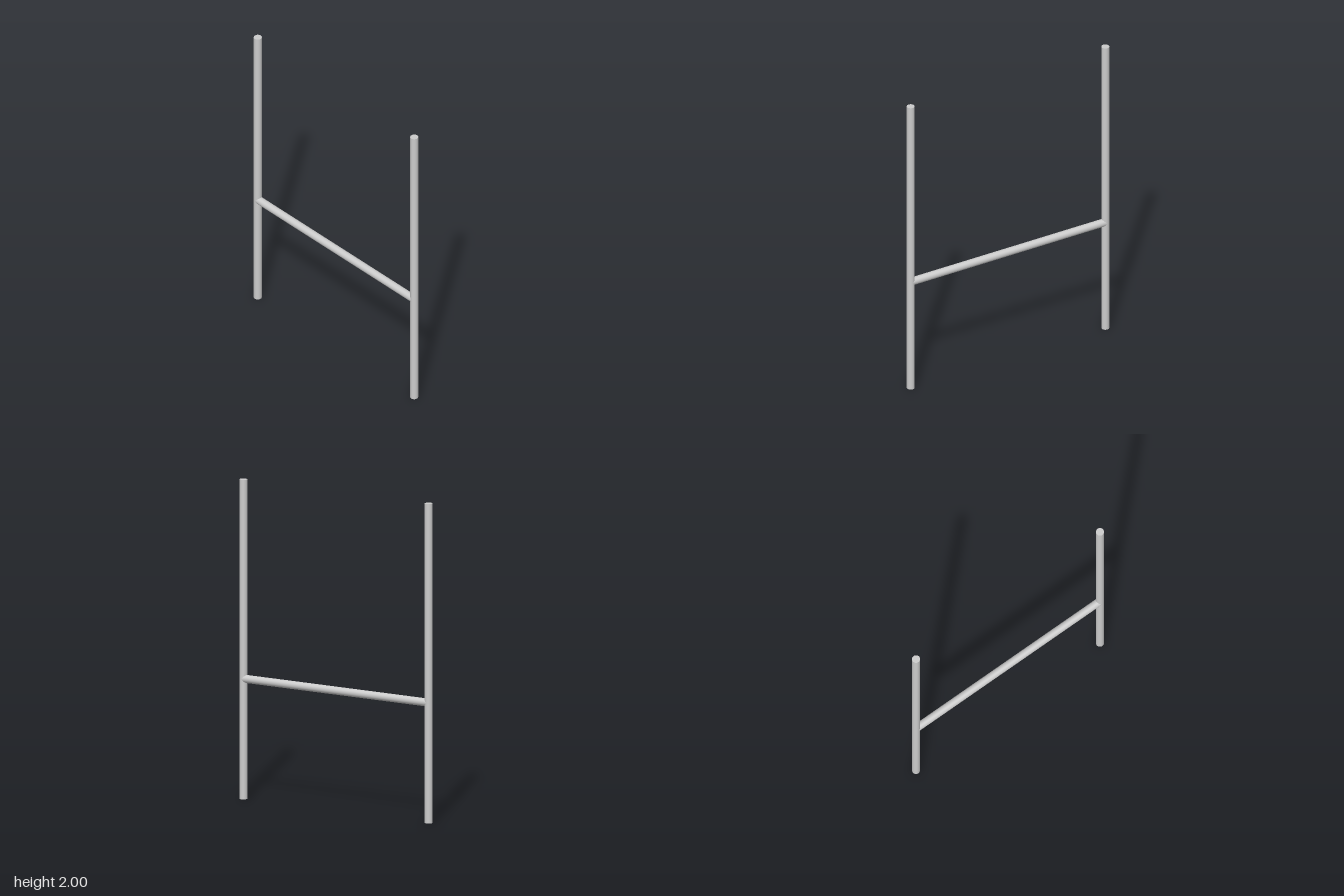
import * as THREE from 'three';

const RADIUS = 0.025;
const POST_Z = 0.703;
const BAR_Y = 0.752;

export function createModel() {
  const model = new THREE.Group();
  const material = new THREE.MeshStandardMaterial({ color: 0xcccccc });

  const pole = (name, length) => {
    const mesh = new THREE.Mesh(new THREE.CylinderGeometry(RADIUS, RADIUS, length, 32), material);
    mesh.name = name;
    model.add(mesh);
    return mesh;
  };

  // Two upright posts
  for (const [name, side] of [['frontPost', 1], ['backPost', -1]]) {
    pole(name, 2).position.set(0, 1, side * POST_Z);
  }

  // Crossbar running between the post centres
  const bar = pole('crossbar', 2 * POST_Z);
  bar.rotation.x = Math.PI / 2;
  bar.position.y = BAR_Y;

  return model;
}
